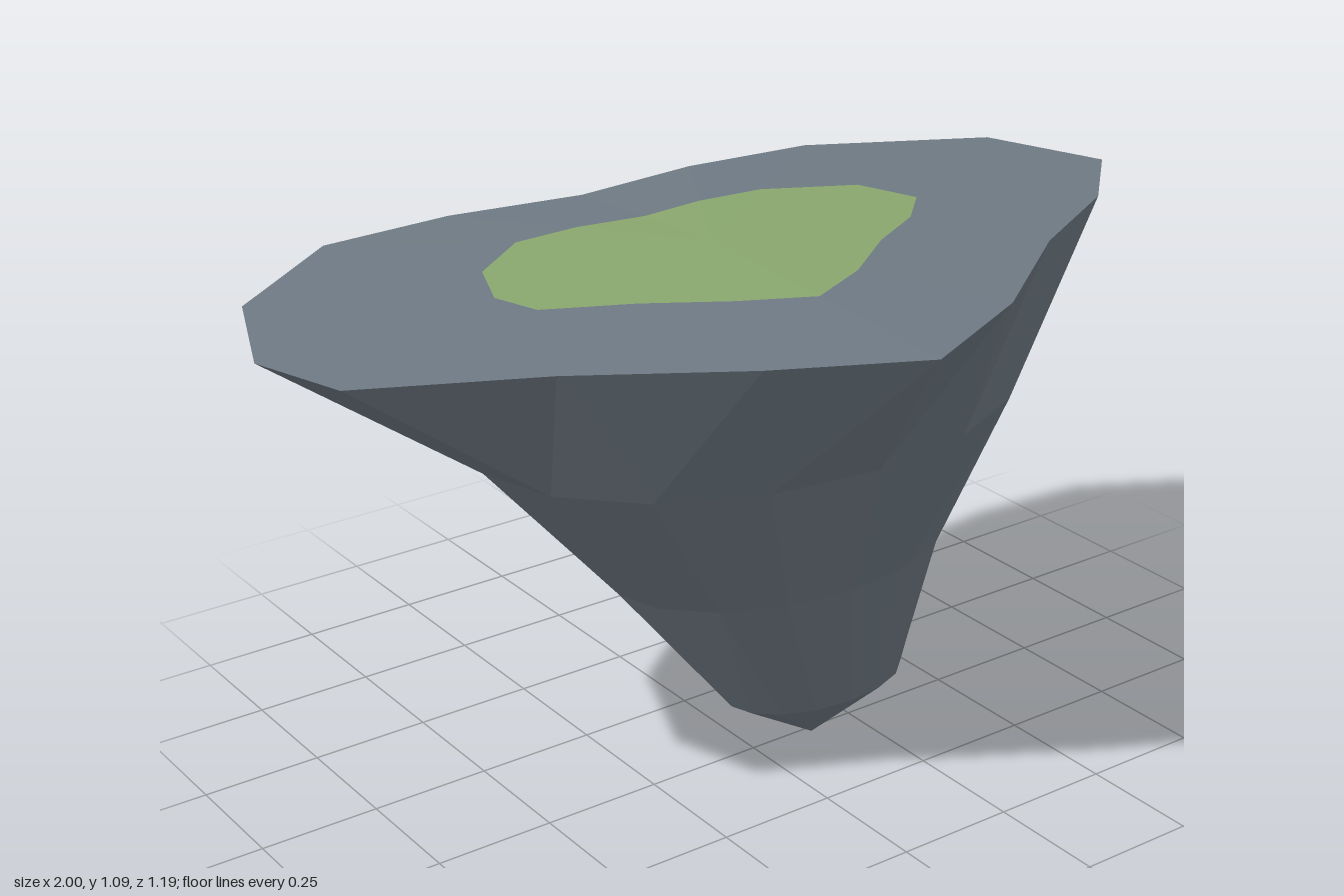
import * as THREE from 'three';

const SIDES = 16;

// Heart-shaped rim of the plateau as [x, z], from the right tip round the back
const RIM = [
  [-1, -0.1], [-0.89, -0.37], [-0.61, -0.585], [-0.32, -0.6],
  [-0.03, -0.555], [0.26, -0.585], [0.55, -0.56], [0.91, -0.37],
  [1, -0.1], [0.82, 0.08], [0.55, 0.23], [0.26, 0.45],
  [-0.03, 0.59], [-0.31, 0.45], [-0.61, 0.26], [-0.94, 0.1],
];
const CENTRE = [-0.03, -0.1];

// The rim scaled towards the plateau centre
const heartRing = (scale, y) => RIM.map(([x, z]) => [
  CENTRE[0] + (x - CENTRE[0]) * scale, y, CENTRE[1] + (z - CENTRE[1]) * scale,
]);

// Oval ring with its own depth to the front and the back
function ovalRing(y, cx, cz, rx, front, back) {
  return Array.from({ length: SIDES }, (_, i) => {
    const a = (i / SIDES) * Math.PI * 2;
    const s = -Math.sin(a);
    return [cx - Math.cos(a) * rx, y, cz + s * (s > 0 ? front : back)];
  });
}

const pointRing = (x, y, z) => Array.from({ length: SIDES }, () => [x, y, z]);

// Skins a list of rings, ordered from the top centre outwards and down
function skin(rings, name, color) {
  const pos = [];
  const tri = (a, b, c) => {
    const same = (p, q) => p.every((v, k) => v === q[k]);
    if (!same(a, b) && !same(b, c) && !same(a, c)) pos.push(...a, ...b, ...c);
  };
  for (let r = 0; r < rings.length - 1; r++) {
    for (let i = 0; i < SIDES; i++) {
      const j = (i + 1) % SIDES;
      const [a, b] = [rings[r], rings[r + 1]];
      tri(a[i], a[j], b[j]);
      tri(a[i], b[j], b[i]);
    }
  }
  const geo = new THREE.BufferGeometry();
  geo.setAttribute('position', new THREE.Float32BufferAttribute(pos, 3));
  geo.computeVertexNormals();
  const mesh = new THREE.Mesh(geo, new THREE.MeshStandardMaterial({ color, flatShading: true }));
  mesh.name = name;
  return mesh;
}

export function createModel() {
  const group = new THREE.Group();
  group.name = 'floatingIsland';

  const grassEdge = heartRing(0.5, 1.075);
  const rim = heartRing(1, 1.06);

  // Grass patch, rising gently to its middle
  group.add(skin([pointRing(CENTRE[0], 1.09, CENTRE[1]), grassEdge], 'grassPatch', 0x8aa76e));

  // Stone border round the grass
  group.add(skin([grassEdge, rim], 'stoneBorder', 0x6f7a84));

  // Rock underside, tapering through oval rings to an off-centre tip
  group.add(skin([
    rim,
    ovalRing(0.755, 0.025, -0.058, 0.605, 0.423, 0.423),
    ovalRing(0.44, 0.072, -0.02, 0.383, 0.255, 0.31),
    ovalRing(0.13, 0.14, 0.02, 0.21, 0.125, 0.125),
    pointRing(0.14, 0, 0.015),
  ], 'rockUnderside', 0x6f7a84));

  return group;
}
